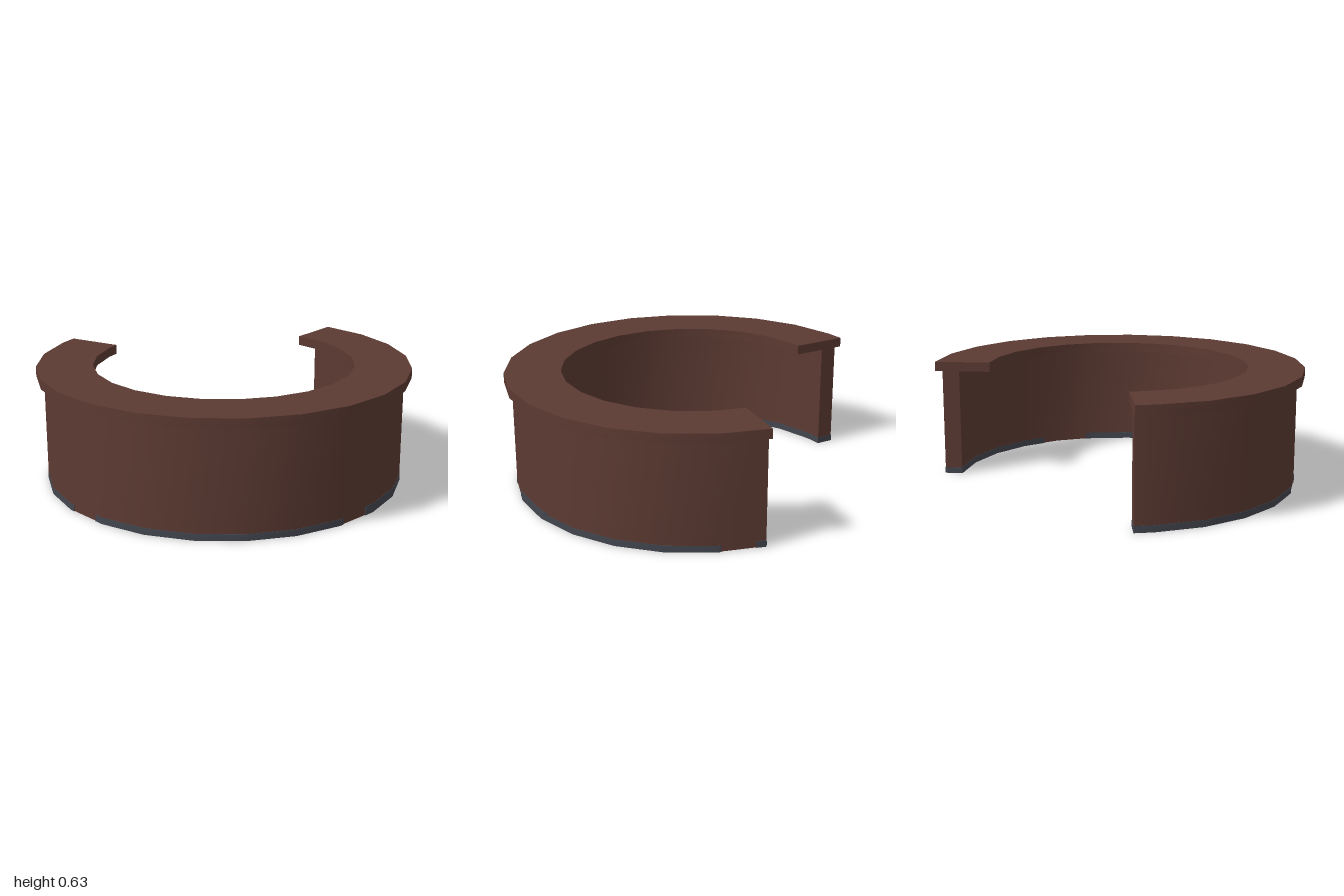
import * as THREE from 'three';

const STEP = 15, END = 261, CENTRE_Z = -0.006;

// Direction at an angle in degrees, lying on the chords of the 24-sided ring
function ringPoint(t) {
  const a = STEP * Math.floor(t / STEP), b = Math.min(a + STEP, END);
  const k = (t - a) / (b - a), rad = Math.PI / 180;
  return [
    Math.cos(a * rad) * (1 - k) + Math.cos(b * rad) * k,
    Math.sin(a * rad) * (1 - k) + Math.sin(b * rad) * k,
  ];
}

// Rectangular section swept along the ring: smooth around it, sharp at its edges
function arcBlock(name, material, r0, r1, y0, y1, from, to) {
  const angles = [from];
  for (let t = STEP * (Math.floor(from / STEP) + 1); t < to; t += STEP) angles.push(t);
  angles.push(to);
  const profile = [[r0, y0], [r1, y0], [r1, y1], [r0, y1]];
  const pos = [], index = [];
  const add = ([r, y], t) => {
    const [c, s] = ringPoint(t);
    pos.push(r * c, y, r * s);
  };

  // four long sides
  profile.forEach((p, i) => {
    const q = profile[(i + 1) % 4], base = pos.length / 3;
    angles.forEach((t) => { add(p, t); add(q, t); });
    for (let j = 0; j < angles.length - 1; j++) {
      const a = base + j * 2;
      index.push(a, a + 1, a + 2, a + 1, a + 3, a + 2);
    }
  });

  // two end caps
  let b = pos.length / 3;
  profile.forEach((p) => add(p, from));
  index.push(b, b + 2, b + 1, b, b + 3, b + 2);
  b += 4;
  profile.forEach((p) => add(p, to));
  index.push(b, b + 1, b + 2, b, b + 2, b + 3);

  const geo = new THREE.BufferGeometry();
  geo.setAttribute('position', new THREE.Float32BufferAttribute(pos, 3));
  geo.setIndex(index);
  geo.computeVertexNormals();
  const mesh = new THREE.Mesh(geo, material);
  mesh.name = name;
  return mesh;
}

export function createModel() {
  const brown = new THREE.MeshStandardMaterial({ color: 0x5c3a32 });
  brown.name = 'brown';
  const grey = new THREE.MeshStandardMaterial({ color: 0x43464f });
  grey.name = 'slate grey';

  const group = new THREE.Group();
  group.name = 'curvedCounter';

  // wall and overhanging top
  group.add(arcBlock('wall', brown, 0.868, 0.96, 0.002, 0.576, 0, END));
  group.add(arcBlock('counterTop', brown, 0.7, 1, 0.576, 0.627, 0, END));

  // scuffed base trim on the outside: [from, to, height]
  [[0, 3, 0.035], [13.5, 72, 0.035], [72, 93.5, 0.048], [103.5, 183, 0.035], [193.5, 235, 0.035]]
    .forEach(([a, b, h]) => group.add(arcBlock('outerTrim', grey, 0.958, 0.962, 0, h, a, b)));

  // base trim on the inside
  [[0, 54, 0.035], [72, 166, 0.035], [180, 235, 0.035]]
    .forEach(([a, b, h]) => group.add(arcBlock('innerTrim', grey, 0.866, 0.87, 0, h, a, b)));

  // trim wrapping both wall ends
  group.add(arcBlock('endTrim', grey, 0.866, 0.962, 0, 0.035, 235, END + 0.1));
  group.add(arcBlock('startTrim', grey, 0.866, 0.962, 0, 0.03, -0.1, 3));

  group.position.z = CENTRE_Z;
  return group;
}
